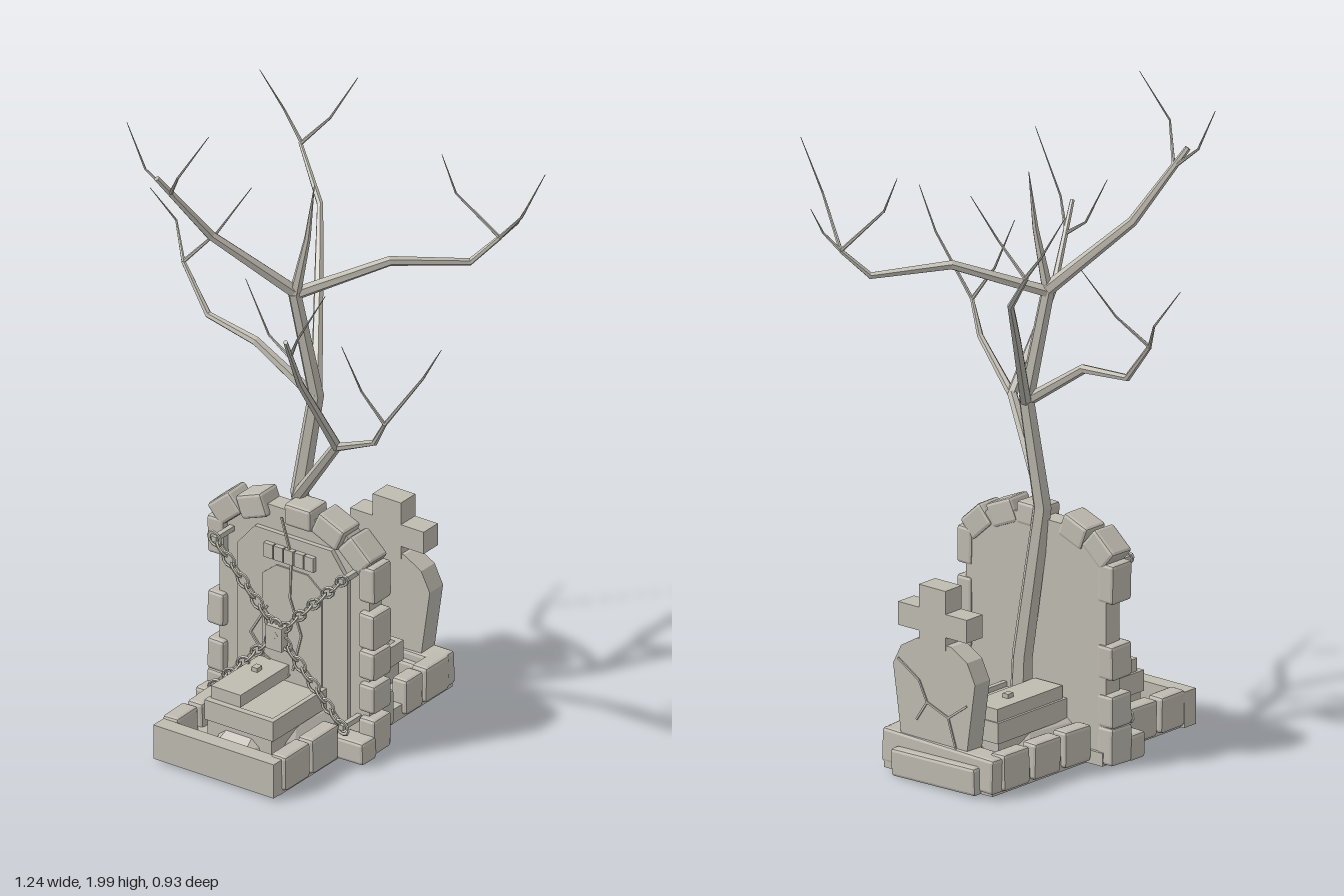
import * as THREE from 'three';
import { RoundedBoxGeometry } from 'three/addons/geometries/RoundedBoxGeometry.js';

export function createModel() {
  const root = new THREE.Group();
  root.name = 'graveWithTree';
  const stone = new THREE.MeshStandardMaterial({ color: 0xbfbbb1, flatShading: true });
  stone.name = 'paleStone';

  let seed = 7;
  const rand = () => { seed = (seed * 16807) % 2147483647; return seed / 2147483647 - 0.5; };
  const group = (name) => { const g = new THREE.Group(); g.name = name; root.add(g); return g; };
  const add = (parent, name, geo) => {
    const m = new THREE.Mesh(geo, stone);
    m.name = name;
    parent.add(m);
    return m;
  };
  // box given by its min and max on each axis
  const box = (parent, name, x0, x1, y0, y1, z0, z1) => {
    const m = add(parent, name, new THREE.BoxGeometry(x1 - x0, y1 - y0, z1 - z0));
    m.position.set((x0 + x1) / 2, (y0 + y1) / 2, (z0 + z1) / 2);
    return m;
  };
  // worn block with bevelled edges and a slight tilt
  const block = (parent, name, x0, x1, y0, y1, z0, z1, turn = 0) => {
    const m = add(parent, name, new RoundedBoxGeometry(x1 - x0, y1 - y0, z1 - z0, 1, 0.01));
    m.position.set((x0 + x1) / 2, (y0 + y1) / 2, (z0 + z1) / 2);
    m.rotation.set(rand() * 0.06, rand() * 0.06, turn + rand() * 0.06);
    return m;
  };
  // flat outline in x and y pushed from z0 to z1
  const slab = (parent, name, pts, z0, z1) => {
    const shape = new THREE.Shape(pts.map(([x, y]) => new THREE.Vector2(x, y)));
    const m = add(parent, name, new THREE.ExtrudeGeometry(shape, { depth: z1 - z0, bevelEnabled: false }));
    m.position.z = z0;
    return m;
  };
  // thin crack line along points on a plane of constant z
  const crack = (parent, pts, z) => {
    for (let i = 1; i < pts.length; i++) {
      const [ax, ay] = pts[i - 1], [bx, by] = pts[i];
      const m = add(parent, 'crack', new THREE.BoxGeometry(Math.hypot(bx - ax, by - ay), 0.006, 0.006));
      m.position.set((ax + bx) / 2, (ay + by) / 2, z);
      m.rotation.z = Math.atan2(by - ay, bx - ax);
    }
  };

  // ground plate and kerb
  const base = group('base');
  box(base, 'floor', -0.23, 0.18, 0.02, 0.065, -0.41, 0.43);
  box(base, 'crossFoundation', -0.29, 0.24, 0.02, 0.06, 0.0, 0.13);
  box(base, 'frontKerb', -0.245, 0.18, 0.022, 0.13, 0.41, 0.46);
  const left = [[-0.38, -0.265], [-0.245, -0.13], [-0.11, 0], [0.17, 0.29], [0.305, 0.41]];
  const right = [[-0.38, -0.26], [-0.25, -0.165], [-0.11, 0], [0.16, 0.29], [0.3, 0.42]];
  for (const [z0, z1] of right) block(base, 'leftKerbStone', 0.14, 0.195, 0.03, 0.14, z0, z1);
  for (const [z0, z1] of left) block(base, 'rightKerbStone', -0.25, -0.195, 0.03, 0.14, z0, z1);
  block(base, 'footStone', -0.325, -0.245, 0.02, 0.1, 0.085, 0.15);
  block(base, 'footStone', -0.24, -0.17, 0.02, 0.11, 0.08, 0.155);
  block(base, 'footStone', 0.14, 0.27, 0.02, 0.09, 0.08, 0.15);

  // earth mound and tomb chest
  const tomb = group('tomb');
  const mound = add(tomb, 'mound', new THREE.SphereGeometry(1, 10, 5, 0, Math.PI * 2, 0, Math.PI / 2));
  mound.scale.set(0.17, 0.11, 0.375);
  mound.position.set(-0.03, 0.06, 0.035);
  box(tomb, 'chest', -0.14, 0.085, 0.07, 0.178, -0.28, 0.34);
  box(tomb, 'chestRimFront', -0.148, 0.094, 0.13, 0.193, 0.325, 0.345);
  box(tomb, 'chestRimBack', -0.148, 0.094, 0.13, 0.193, -0.29, -0.27);
  for (const x of [-0.148, 0.079]) box(tomb, 'chestRimSide', x, x + 0.015, 0.13, 0.193, -0.28, 0.34);
  box(tomb, 'frontLid', -0.14, -0.035, 0.193, 0.232, 0.09, 0.325);
  box(tomb, 'backLid', -0.14, -0.035, 0.193, 0.232, -0.285, 0.0);
  for (const z of [-0.18, 0.17]) box(tomb, 'lidPeg', -0.1, -0.08, 0.23, 0.245, z - 0.012, z + 0.012);

  // upright wall with door
  const wall = group('wall');
  slab(wall, 'wallSlab', [[-0.295, 0.03], [0.235, 0.03], [0.235, 0.6], [0.15, 0.7], [0.05, 0.715],
    [-0.16, 0.715], [-0.295, 0.61]], 0.01, 0.07);
  slab(wall, 'door', [[-0.22, 0.1], [0.168, 0.1], [0.168, 0.56], [0.11, 0.64], [-0.16, 0.64], [-0.22, 0.57]], 0.07, 0.085);
  slab(wall, 'doorPanel', [[-0.13, 0.12], [0.08, 0.12], [0.08, 0.5], [0.03, 0.54], [-0.08, 0.54], [-0.13, 0.5]], 0.085, 0.09);
  for (let i = 0; i < 5; i++) {
    const x = -0.118 + i * 0.036;
    box(wall, 'doorGrille', x, x + 0.032, 0.56, 0.605, 0.085, 0.1);
  }
  crack(wall, [[-0.06, 0.7], [-0.025, 0.58], [-0.03, 0.45], [0.01, 0.34], [-0.02, 0.22]], 0.091);
  crack(wall, [[-0.11, 0.4], [-0.17, 0.3], [-0.12, 0.24], [-0.03, 0.2]], 0.091);

  // stones around the wall edge
  const arch = group('archStones');
  for (const [y, h] of [[0.57, 0.12], [0.333, 0.105], [0.185, 0.1], [0.08, 0.115]])
    block(arch, 'rightEdgeStone', -0.325, -0.265, y - h / 2, y + h / 2, 0.005, 0.092);
  for (const [y, h] of [[0.57, 0.115], [0.42, 0.115], [0.31, 0.09], [0.205, 0.09], [0.085, 0.11]])
    block(arch, 'leftEdgeStone', 0.21, 0.268, y - h / 2, y + h / 2, 0.005, 0.092);
  for (const [x, y, w, h, turn] of [[-0.265, 0.665, 0.1, 0.075, 0.7], [-0.17, 0.7, 0.095, 0.075, 0.35],
    [-0.005, 0.713, 0.095, 0.07, 0], [0.1, 0.698, 0.1, 0.075, -0.4], [0.195, 0.65, 0.1, 0.075, -0.75]])
    block(arch, 'topStone', x - w / 2, x + w / 2, y - h / 2, y + h / 2, 0.005, 0.092, turn);

  // crossed chains and padlock
  const chains = group('chains');
  const link = new THREE.TorusGeometry(0.015, 0.0045, 5, 10).scale(1.5, 1, 1);
  for (const [ax, bx] of [[-0.25, 0.2], [0.2, -0.25]]) {
    const a = new THREE.Vector3(ax, 0.6, 0.155), b = new THREE.Vector3(bx, 0.13, 0.155);
    const n = 18;
    for (let i = 0; i <= n; i++) {
      const m = add(chains, 'chainLink', link);
      m.position.lerpVectors(a, b, i / n);
      m.rotation.order = 'ZXY';
      m.rotation.z = Math.atan2(b.y - a.y, b.x - a.x);
      m.rotation.x = i % 2 ? 1.2 : -0.3;
    }
    for (const p of [a, b]) box(chains, 'chainPin', p.x - 0.008, p.x + 0.008, p.y - 0.008, p.y + 0.008, 0.05, 0.16);
  }
  box(chains, 'padlock', -0.058, -0.002, 0.315, 0.39, 0.14, 0.172);
  const shackle = add(chains, 'shackle', new THREE.TorusGeometry(0.018, 0.005, 5, 8, Math.PI));
  shackle.position.set(-0.03, 0.39, 0.156);

  // headstone with cross at the back
  const head = group('headstone');
  block(head, 'plinth', -0.24, 0.19, 0.03, 0.135, -0.415, -0.335);
  block(head, 'backStep', -0.19, 0.13, 0.015, 0.1, -0.442, -0.405);
  block(head, 'frontStep', -0.19, 0.14, 0.04, 0.11, -0.345, -0.312);
  slab(head, 'tablet', [[-0.125, 0.1], [0.115, 0.1], [0.15, 0.34], [0.12, 0.4], [0.06, 0.435],
    [-0.07, 0.435], [-0.13, 0.4], [-0.16, 0.34]], -0.405, -0.34);
  box(head, 'crossUpright', -0.05, 0.05, 0.42, 0.6, -0.408, -0.337);
  box(head, 'crossArms', -0.13, 0.13, 0.46, 0.53, -0.407, -0.338);
  crack(head, [[0.13, 0.36], [0.05, 0.31], [0.02, 0.25], [-0.06, 0.22], [-0.09, 0.13]], -0.406);
  crack(head, [[0.02, 0.25], [0.06, 0.19]], -0.406);
  crack(head, [[-0.06, 0.22], [-0.13, 0.27]], -0.406);

  // bare tree: each limb is a tapering tube lofted through its points
  const tree = group('tree');
  const limb = (name, r0, r1, ...path) => {
    const pts = path.map((p) => new THREE.Vector3(...p));
    const sides = 6, pos = [], idx = [];
    const last = pts.length - 1;
    pts.forEach((p, i) => {
      const t = pts[Math.min(i + 1, last)].clone().sub(pts[Math.max(i - 1, 0)]).normalize();
      const u = new THREE.Vector3(0.31, 0.1, 0.95).cross(t).normalize();
      const v = t.clone().cross(u);
      const r = r0 + (r1 - r0) * i / last;
      for (let k = 0; k < sides; k++) {
        const a = k / sides * Math.PI * 2;
        const q = p.clone().addScaledVector(u, r * Math.cos(a)).addScaledVector(v, r * Math.sin(a));
        pos.push(q.x, q.y, q.z);
        if (i < last) {
          const c = i * sides + k, d = i * sides + (k + 1) % sides;
          idx.push(c, d, d + sides, c, d + sides, c + sides);
        }
      }
    });
    for (let k = 1; k < sides - 1; k++) {
      idx.push(0, k + 1, k);
      idx.push(last * sides, last * sides + k, last * sides + k + 1);
    }
    const g = new THREE.BufferGeometry();
    g.setAttribute('position', new THREE.Float32BufferAttribute(pos, 3));
    g.setIndex(idx);
    g.computeVertexNormals();
    add(tree, name, g);
  };
  limb('trunk', 0.036, 0.02, [0.0, 0.07, -0.025], [-0.005, 0.3, -0.02], [-0.055, 0.75, 0.01], [-0.01, 1.07, -0.008], [-0.055, 1.4, 0.035]);
  limb('treeTop', 0.018, 0.001, [-0.055, 1.39, 0.035], [-0.02, 1.58, 0.02], [-0.003, 1.75, 0.01]);
  // front left limb
  limb('branch', 0.02, 0.015, [-0.055, 0.74, 0.02], [0.165, 1.015, 0.13]);
  limb('branch', 0.016, 0.007, [0.165, 1.01, 0.13], [0.158, 1.285, 0.303], [0.22, 1.5, 0.457]);
  limb('twig', 0.006, 0.001, [0.195, 1.42, 0.4], [0.25, 1.51, 0.44], [0.36, 1.69, 0.457]);
  limb('twig', 0.006, 0.001, [0.195, 1.42, 0.4], [0.12, 1.47, 0.4], [0.03, 1.62, 0.39]);
  limb('branch', 0.013, 0.006, [0.165, 1.01, 0.13], [0.36, 1.12, 0.217], [0.42, 1.21, 0.25]);
  limb('twig', 0.006, 0.001, [0.42, 1.21, 0.25], [0.545, 1.39, 0.235], [0.62, 1.51, 0.25]);
  limb('twig', 0.006, 0.001, [0.42, 1.21, 0.25], [0.36, 1.31, 0.28], [0.315, 1.455, 0.315]);
  // front right limb
  limb('branch', 0.021, 0.009, [-0.055, 1.4, 0.03], [-0.23, 1.6, 0.2], [-0.325, 1.81, 0.333]);
  limb('twig', 0.006, 0.001, [-0.3, 1.755, 0.3], [-0.375, 1.82, 0.32], [-0.44, 1.95, 0.32]);
  limb('twig', 0.006, 0.001, [-0.3, 1.755, 0.3], [-0.22, 1.86, 0.375], [-0.14, 2.0, 0.335]);
  // back right limb
  limb('branch', 0.018, 0.006, [-0.01, 1.06, -0.01], [-0.14, 1.32, -0.2], [-0.23, 1.48, -0.33], [-0.355, 1.61, -0.405]);
  limb('twig', 0.006, 0.001, [-0.35, 1.61, -0.405], [-0.42, 1.69, -0.417], [-0.48, 1.815, -0.38]);
  limb('twig', 0.006, 0.001, [-0.35, 1.61, -0.405], [-0.26, 1.71, -0.42], [-0.195, 1.84, -0.465]);
  // right limb
  limb('branch', 0.018, 0.007, [-0.01, 1.065, 0.0], [-0.2, 1.195, 0.022], [-0.385, 1.215, 0.0], [-0.495, 1.34, -0.03]);
  limb('twig', 0.006, 0.001, [-0.495, 1.34, -0.03], [-0.56, 1.43, -0.085], [-0.62, 1.535, -0.04]);
  limb('twig', 0.006, 0.001, [-0.495, 1.34, -0.03], [-0.42, 1.43, -0.09], [-0.345, 1.57, -0.155]);
  // back left limb
  limb('branch', 0.019, 0.007, [-0.055, 1.395, 0.03], [0.14, 1.48, -0.16], [0.3, 1.455, -0.33], [0.365, 1.53, -0.385]);
  limb('twig', 0.006, 0.001, [0.365, 1.53, -0.385], [0.49, 1.66, -0.32], [0.565, 1.815, -0.33]);
  limb('twig', 0.006, 0.001, [0.365, 1.53, -0.385], [0.25, 1.66, -0.33], [0.2, 1.77, -0.33]);
  limb('twig', 0.006, 0.001, [0.365, 1.53, -0.385], [0.41, 1.58, -0.41], [0.44, 1.65, -0.43]);

  return root;
}
